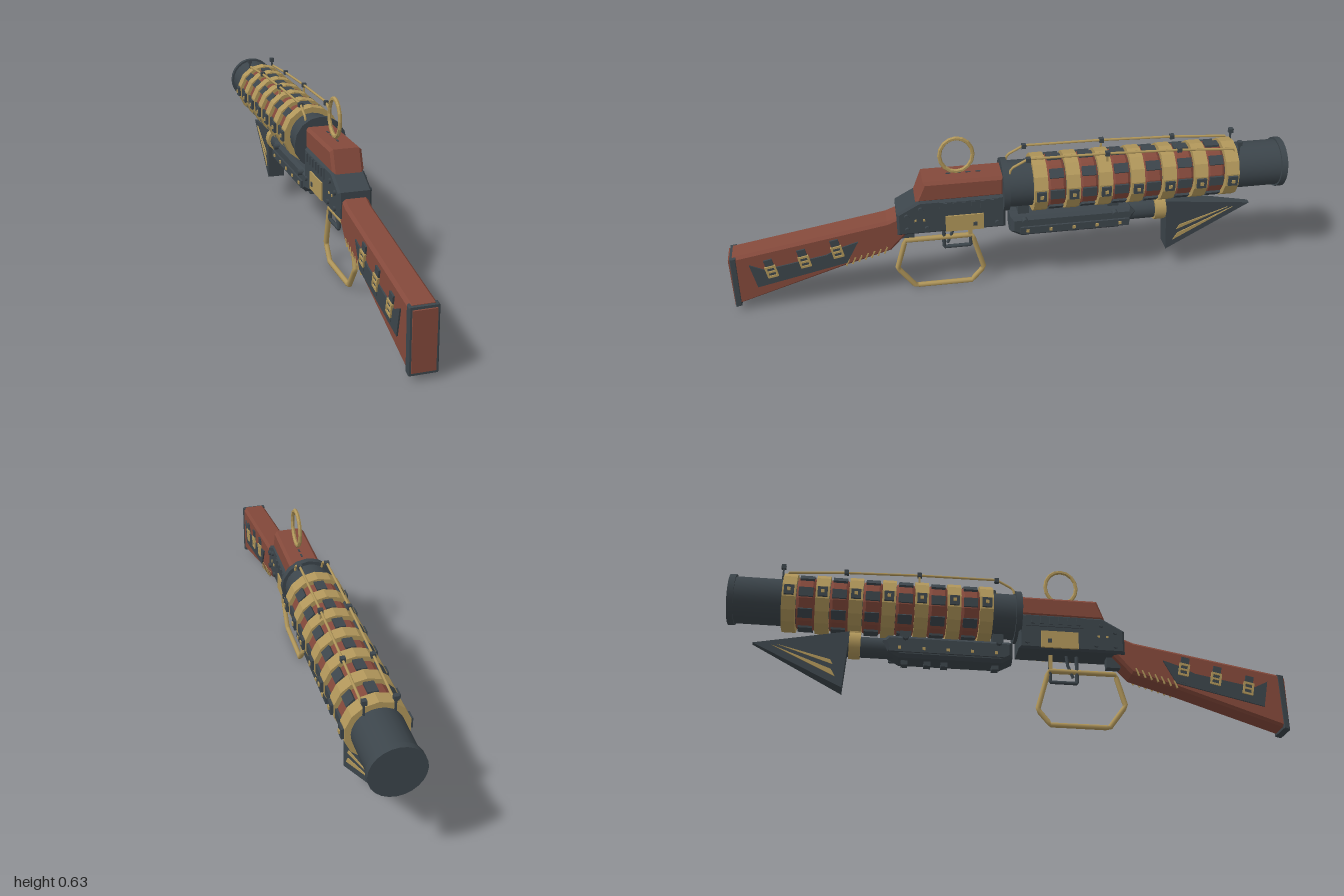
import * as THREE from 'three';

const mat = (name, color) => Object.assign(new THREE.MeshStandardMaterial({ color }), { name });

export function createModel() {
  const root = new THREE.Group();
  root.name = 'steamRifle';
  const iron = mat('dark iron', 0x3c454b);
  const wood = mat('red wood', 0x84493b);
  const brass = mat('brass', 0xb0965a);
  const AXIS = 0.43; // barrel height

  const add = (name, geo, m, x = 0, y = 0, z = 0) => {
    const mesh = new THREE.Mesh(geo, m);
    mesh.name = name;
    mesh.position.set(x, y, z);
    root.add(mesh);
    return mesh;
  };
  const box = (name, m, w, h, d, x, y, z) => add(name, new THREE.BoxGeometry(w, h, d), m, x, y, z);
  const both = (fn) => [-1, 1].forEach(fn);
  const flat = (geo) => {
    const g = geo.index ? geo.toNonIndexed() : geo;
    g.computeVertexNormals();
    return g;
  };

  // Side outline given as [z, y], extruded across x, outline kept when chamfered
  const slab = (pts, half, bevel = 0) => {
    const shape = new THREE.Shape(pts.map(([z, y]) => new THREE.Vector2(z, y)));
    const geo = new THREE.ExtrudeGeometry(shape, {
      depth: 2 * (half - bevel), bevelEnabled: bevel > 0, bevelThickness: bevel,
      bevelSize: bevel, bevelOffset: -bevel, bevelSegments: 1,
    });
    return geo.translate(0, 0, bevel - half).rotateY(-Math.PI / 2);
  };
  // Cylinder along z between two positions
  const drum = (name, m, r, z0, z1, y = AXIS, sides = 20) =>
    add(name, new THREE.CylinderGeometry(r, r, Math.abs(z1 - z0), sides).rotateX(Math.PI / 2), m, 0, y, (z0 + z1) / 2);
  // Straight-edged rod through [z, y] points
  const rod = (pts, r, closed = false, x = 0) => {
    const path = new THREE.CurvePath();
    const v = pts.map(([z, y]) => new THREE.Vector3(x, y, z));
    if (closed) v.push(v[0]);
    for (let i = 1; i < v.length; i++) path.add(new THREE.LineCurve3(v[i - 1], v[i]));
    return new THREE.TubeGeometry(path, 60, r, 8, closed);
  };

  // Barrel with muzzle and breech flanges
  drum('barrel', iron, 0.083, 0.02, -0.99, AXIS, 24);
  drum('muzzleFlange', iron, 0.09, -0.978, -1, AXIS, 24);
  drum('breechFlange', iron, 0.096, 0.03, 0.008, AXIS, 16);

  // Brass hoops with bolted iron pads
  const hoop = new THREE.CylinderGeometry(0.104, 0.104, 0.048, 14).rotateX(Math.PI / 2);
  for (let i = 0; i < 7; i++) {
    const z = -0.1 - i * 0.115;
    add('barrelHoop', flat(hoop), brass, 0, AXIS, z);
    both((s) => {
      box('hoopPad', iron, 0.01, 0.036, 0.034, s * 0.105, AXIS, z);
      box('hoopBolt', brass, 0.006, 0.012, 0.012, s * 0.111, AXIS, z);
    });
  }

  // Chamfered wooden sleeves between hoops, with iron pads around them
  const sleeveProfile = [[0.08, -0.034], [0.088, -0.032], [0.095, -0.022], [0.095, 0.022], [0.088, 0.032], [0.08, 0.034]];
  const sleeve = flat(new THREE.LatheGeometry(sleeveProfile.map(([r, y]) => new THREE.Vector2(r, y)), 14).rotateX(Math.PI / 2));
  for (let i = 0; i < 6; i++) {
    const z = -0.157 - i * 0.115;
    add('woodSleeve', sleeve, wood, 0, AXIS, z);
    for (let k = 0; k < 8; k++) {
      const a = (k * Math.PI) / 4;
      const pad = box('sleevePad', iron, 0.034, 0.008, 0.05, Math.sin(a) * 0.096, AXIS + Math.cos(a) * 0.096, z);
      pad.rotation.z = -a;
    }
  }

  // Brass steam lines over the barrel with iron nuts
  both((s) => {
    const x = s * 0.048;
    add('steamLine', rod([[0.005, 0.5], [0, 0.52], [-0.06, 0.553], [-0.34, 0.55], [-0.6, 0.541], [-0.8, 0.527], [-0.81, 0.5]], 0.0045, false, x), brass);
    for (const [z, y] of [[-0.06, 0.55], [-0.34, 0.55], [-0.6, 0.542], [-0.82, 0.548]])
      box('lineNut', iron, 0.016, 0.016, 0.016, x, y, z);
    box('nutPost', iron, 0.006, 0.05, 0.006, x, 0.525, -0.82);
    box('linePost', brass, 0.007, 0.05, 0.007, x, 0.53, -0.34);
  });

  // Receiver and wooden top cover
  add('receiver', slab([[0.405, 0.285], [0.405, 0.375], [0.325, 0.42], [0.02, 0.42], [0.02, 0.285]], 0.058, 0.008), iron);
  add('topCover', slab([[0.337, 0.415], [0.308, 0.492], [0.025, 0.492], [0.025, 0.415]], 0.055, 0.01), wood);
  for (let i = 0; i < 4; i++) box('coverSlot', iron, 0.006, 0.003, 0.018, 0, 0.492, 0.11 + i * 0.035);
  both((s) => {
    box('sidePlate', brass, 0.008, 0.064, 0.135, s * 0.059, 0.322, 0.167);
    box('sidePlateCatch', iron, 0.008, 0.014, 0.014, s * 0.063, 0.315, 0.13);
    box('sideRail', iron, 0.008, 0.04, 0.21, s * 0.058, 0.392, 0.15);
    for (let i = 0; i < 6; i++) box('railRib', iron, 0.008, 0.03, 0.014, s * 0.063, 0.395, 0.235 - i * 0.033);
    for (const [z, y] of [[0.37, 0.31], [0.37, 0.365], [0.32, 0.39], [0.3, 0.31], [0.05, 0.31]])
      add('receiverBolt', new THREE.CylinderGeometry(0.009, 0.009, 0.012, 8).rotateZ(Math.PI / 2), iron, s * 0.06, y, z);
    for (const z of [0.34, 0.31]) box('receiverPin', brass, 0.005, 0.008, 0.008, s * 0.059, 0.345, z);
  });

  // Ring sight
  const ring = add('ringSight', flat(new THREE.TorusGeometry(0.058, 0.007, 6, 16).rotateY(Math.PI / 2)), brass, 0, 0.564, 0.185);
  ring.scale.y = 1.13;

  // Stock and butt
  add('stock', slab([[0.985, 0.04], [0.985, 0.243], [0.44, 0.338], [0.36, 0.37], [0.36, 0.29], [0.385, 0.265], [0.43, 0.215], [0.6, 0.165]], 0.045, 0.01), wood);
  add('buttPlate', slab([[0.998, 0.03], [0.994, 0.24], [0.972, 0.243], [0.976, 0.035]], 0.047, 0.003), iron);
  box('buttPad', wood, 0.076, 0.194, 0.008, 0, 0.135, 0.996);

  // Stock side plates, straps and buckles
  both((s) => {
    const plate = add('stockPlate', slab([[0.93, 0.21], [0.91, 0.113], [0.59, 0.185], [0.545, 0.27], [0.61, 0.25], [0.66, 0.225], [0.88, 0.185]], 0.004), iron);
    plate.position.x = s * 0.046;
    [[0.855, 0.178], [0.737, 0.208], [0.62, 0.237]].forEach(([z, y]) => {
      const g = new THREE.Group();
      g.name = 'stockBuckle';
      g.position.set(s * 0.048, y, z);
      g.rotation.x = 0.2;
      const part = (m, w, h, d, px, py, pz) => {
        const mesh = new THREE.Mesh(new THREE.BoxGeometry(w, h, d), m);
        mesh.position.set(s * px, py, pz);
        g.add(mesh);
      };
      part(iron, 0.006, 0.1, 0.03, 0, 0, 0);
      both((k) => {
        part(brass, 0.008, 0.008, 0.036, 0.003, k * 0.02, 0);
        part(brass, 0.008, 0.046, 0.007, 0.003, 0, k * 0.016);
      });
      part(brass, 0.008, 0.007, 0.03, 0.003, 0, 0);
      root.add(g);
    });
    // Short brass pegs along the lower grip
    for (let i = 0; i < 7; i++) {
      const z = 0.45 + i * 0.023;
      const peg = box('gripPeg', brass, 0.006, 0.03, 0.005, s * 0.044, 0.221 - i * 0.0065, z);
      peg.rotation.x = -0.4;
    }
  });

  // Lever loop and trigger
  add('leverLoop', rod([[0.378, 0.225], [0.135, 0.225], [0.094, 0.075], [0.14, 0.02], [0.35, 0.02], [0.412, 0.105]], 0.0095, true), brass);
  add('triggerFrame', rod([[0.238, 0.29], [0.238, 0.182], [0.14, 0.182], [0.14, 0.29]], 0.007), iron);
  add('trigger', rod([[0.2, 0.29], [0.205, 0.25], [0.225, 0.2]], 0.006), iron);
  box('leverPivot', brass, 0.014, 0.07, 0.014, 0, 0.255, 0.142);
  box('leverHinge', iron, 0.03, 0.05, 0.05, 0, 0.27, 0.37);

  // Lower tube with bolted side rails
  drum('lowerTube', iron, 0.037, 0, -0.58, 0.275, 12);
  add('tubeHousing', slab([[0, 0.25], [0, 0.31], [-0.44, 0.31], [-0.46, 0.29], [-0.44, 0.25], [-0.4, 0.228], [-0.04, 0.228]], 0.048, 0.012), iron);
  both((s) => {
    box('tubeRail', iron, 0.01, 0.028, 0.4, s * 0.05, 0.258, -0.235);
    for (let i = 0; i < 5; i++) box('railBolt', brass, 0.006, 0.011, 0.011, s * 0.056, 0.258, -0.06 - i * 0.085);
    for (const z of [-0.05, -0.38])
      add('clampBolt', new THREE.CylinderGeometry(0.011, 0.011, 0.022, 8).rotateZ(Math.PI / 2), iron, s * 0.053, 0.3, z);
  });
  for (const z of [-0.06, -0.24, -0.3, -0.38]) box('tubeStud', iron, 0.03, 0.02, 0.024, 0, 0.222, z);
  for (const z of [-0.05, -0.38]) box('tubeHanger', iron, 0.04, 0.06, 0.04, 0, 0.335, z);
  drum('bladeCollar', brass, 0.047, -0.535, -0.575, 0.278, 12);
  box('collarStrap', brass, 0.03, 0.05, 0.04, 0, 0.335, -0.555);

  // Blade narrowing toward its tip, with brass inlays
  const taper = (geo, extra = 0) => {
    const p = geo.attributes.position;
    for (let i = 0; i < p.count; i++) {
      const half = 0.035 - (0.025 * (-0.575 - p.getZ(i))) / 0.33;
      p.setX(i, Math.sign(p.getX(i)) * (half + extra));
    }
    return flat(geo);
  };
  add('blade', taper(slab([[-0.575, 0.318], [-0.905, 0.265], [-0.59, 0.105]], 0.03)), iron);
  add('bladeInlay', taper(slab([[-0.615, 0.145], [-0.84, 0.258], [-0.63, 0.172]], 0.03), 0.003), brass);
  add('bladeInlay', taper(slab([[-0.625, 0.19], [-0.82, 0.26], [-0.635, 0.208]], 0.03), 0.003), brass);

  return root;
}
